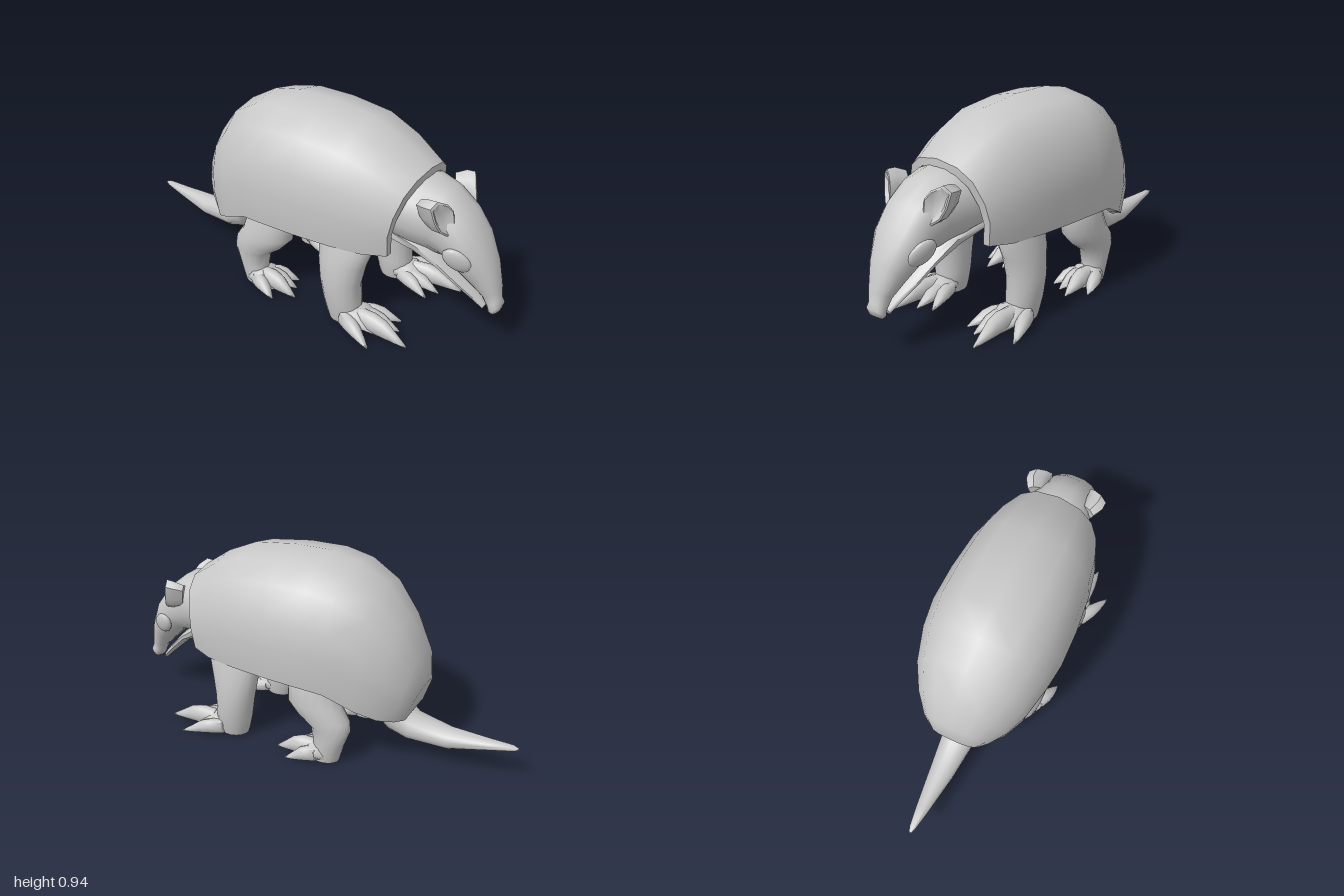
import * as THREE from 'three';
import { toCreasedNormals } from 'three/addons/utils/BufferGeometryUtils.js';

const hide = new THREE.MeshStandardMaterial({ color: 0xc8c8c8 });
hide.name = 'grey hide';

// Skin a list of equal-sized closed rings, cap both ends, face outwards
function loft(name, rings, crease = 0.9) {
  const n = rings[0].length, idx = [], last = (rings.length - 1) * n;
  for (let r = 0; r < rings.length - 1; r++)
    for (let i = 0; i < n; i++) {
      const a = r * n + i, b = r * n + (i + 1) % n;
      idx.push(a, b, b + n, a, b + n, a + n);
    }
  for (let i = 0; i < n / 2 - 1; i++) {
    const j = n - 1 - i;
    idx.push(i, j, j - 1, i, j - 1, i + 1);
    idx.push(last + i, last + j - 1, last + j, last + i, last + i + 1, last + j - 1);
  }
  const pts = rings.flat();
  let volume = 0;
  for (let k = 0; k < idx.length; k += 3)
    volume += pts[idx[k]].dot(pts[idx[k + 1]].clone().cross(pts[idx[k + 2]]));
  if (volume < 0) idx.reverse();
  const g = new THREE.BufferGeometry().setFromPoints(pts);
  g.setIndex(idx);
  const mesh = new THREE.Mesh(toCreasedNormals(g, crease), hide);
  mesh.name = name;
  return mesh;
}

// Ellipse around centre c with half axes u and v; power below 1 makes the u sides fuller
function ellipse(c, u, v, n = 16, power = 1) {
  return Array.from({ length: n }, (_, i) => {
    const a = ((i + 0.5) / n) * Math.PI * 2, cos = Math.cos(a);
    return new THREE.Vector3(...c)
      .addScaledVector(new THREE.Vector3(...u), Math.sign(cos) * Math.abs(cos) ** power)
      .addScaledVector(new THREE.Vector3(...v), Math.sin(a));
  });
}

// Cross-section from [top z, top y, bottom z, bottom y, half width]
const slice = (x, n, power) => ([tz, ty, bz, by, w]) =>
  ellipse([x, (ty + by) / 2, (tz + bz) / 2], [w, 0, 0], [0, (ty - by) / 2, (tz - bz) / 2], n, power);

// Arched shell section with a thick wall; front sections bow backwards
const ARCH = [[0.94, 0], [1, 0.3], [0.94, 0.545], [0.76, 0.8], [0.47, 0.945], [0, 1]];
function shellRing([tz, ty, bz, by, w]) {
  const half = ARCH.concat(ARCH.slice(0, 5).reverse().map(([x, y]) => [-x, y]));
  const t = Math.min(0.035, w * 0.4, (ty - by) * 0.4);
  const arch = (hw, top, dz) => half.map(([x, y]) => new THREE.Vector3(
    x * hw, by + (top - by) * y, bz + (tz - bz) * (tz > 0 ? y * y : y) + dz));
  return arch(w, ty, 0).concat(arch(w - t, ty - t, tz < -0.3 ? 0.035 : 0).reverse());
}

// One toe of relative height h tapering from the foot into a claw
function toe(x0, z0, x1, z1, h, s) {
  const rings = [[0, 0.045, 0.036, 0.045], [0.3, 0.047, 0.04, 0.047], [0.55, 0.04, 0.034, 0.04],
    [0.8, 0.02, 0.02, 0.02], [1, 0.005, 0.005, 0.005]].map(([t, y, rx, ry]) =>
    ellipse([s * (x0 + (x1 - x0) * t), y * h, z0 + (z1 - z0) * t], [rx, 0, 0], [0, ry * h, 0], 10));
  return loft('toe', rings, 1.2);
}

// Leg from horizontal sections [y, x, front z, back z, half width], plus foot and toes
function leg(name, s, sections, footZ, scale, toes) {
  const g = new THREE.Group();
  g.name = name;
  g.add(loft('limb', sections.map(([y, x, f, b, w]) =>
    ellipse([s * x, y, (f + b) / 2], [w, 0, 0], [0, 0, (f - b) / 2], 16)), 1.2));
  g.add(loft('foot', [[0.05, 0.05, 0.045], [0.1, 0.085, 0.07], [0.16, 0.09, 0.08], [0.21, 0.065, 0.07], [0.26, 0.03, 0.05]]
    .map(([d, h, w]) => {
      const z = footZ + d * scale;
      return slice(s * 0.225, 12)([z, h, z, 0, w]);
    }), 1.2));
  for (const t of toes) g.add(toe(...t, s));
  return g;
}

// Thick ear with a shallow cup facing forward and outward
function ear(s) {
  const outline = [[0.2, 0.672], [0.167, 0.698], [0.125, 0.675], [0.1, 0.64],
    [0.1, 0.57], [0.12, 0.525], [0.165, 0.558], [0.187, 0.605]];
  const ring = (k, dz, dx = 0) => outline.map(([x, y]) => new THREE.Vector3(
    s * (0.145 + (x - 0.145) * k + dx),
    0.61 + (y - 0.61) * k,
    0.765 - (x - 0.145) * k * 0.5 - (y - 0.61) * k * 0.15 + dz));
  return loft('ear', [ring(0.75, -0.09, -0.015), ring(0.97, -0.04), ring(1, 0),
    ring(0.88, 0.003), ring(0.5, -0.014)], 0.7);
}

export function createModel() {
  const model = new THREE.Group();
  model.name = 'armadillo';

  // Domed shell, front to back
  model.add(loft('shell', [
    [0.62, 0.747, 0.555, 0.4, 0.24],
    [0.48, 0.842, 0.45, 0.39, 0.28],
    [0.33, 0.908, 0.3, 0.39, 0.31],
    [0.12, 0.935, 0.11, 0.39, 0.328],
    [-0.07, 0.938, -0.06, 0.388, 0.332],
    [-0.21, 0.912, -0.18, 0.375, 0.315],
    [-0.35, 0.835, -0.32, 0.31, 0.278],
    [-0.46, 0.7, -0.41, 0.265, 0.225],
    [-0.54, 0.55, -0.47, 0.245, 0.165],
    [-0.56, 0.4, -0.5, 0.24, 0.12],
    [-0.508, 0.25, -0.505, 0.24, 0.1],
  ].map(shellRing), 0.8));

  // Body running into the tail
  model.add(loft('bodyAndTail', [
    [0.5, 0.69, 0.5, 0.42, 0.18],
    [0.3, 0.8, 0.32, 0.39, 0.25],
    [0.05, 0.86, 0.05, 0.37, 0.28],
    [-0.15, 0.8, -0.15, 0.35, 0.26],
    [-0.28, 0.62, -0.24, 0.3, 0.19],
    [-0.38, 0.42, -0.32, 0.2, 0.12],
    [-0.45, 0.29, -0.39, 0.122, 0.09],
    [-0.52, 0.225, -0.49, 0.092, 0.08],
    [-0.68, 0.192, -0.68, 0.092, 0.06],
    [-0.87, 0.19, -0.87, 0.14, 0.033],
    [-0.97, 0.193, -0.98, 0.165, 0.015],
    [-0.997, 0.185, -1, 0.175, 0.006],
  ].map(slice(0, 16))));

  // Neck, head and upper snout
  model.add(loft('head', [
    [0.45, 0.7, 0.45, 0.43, 0.19],
    [0.62, 0.713, 0.59, 0.4, 0.175],
    [0.72, 0.69, 0.67, 0.39, 0.145],
    [0.82, 0.61, 0.733, 0.39, 0.14],
    [0.89, 0.52, 0.795, 0.345, 0.128],
    [0.95, 0.4, 0.86, 0.285, 0.088],
    [0.983, 0.285, 0.91, 0.238, 0.054],
    [0.99, 0.235, 0.935, 0.195, 0.044],
    [1, 0.213, 0.945, 0.172, 0.049],
    [0.992, 0.183, 0.957, 0.164, 0.036],
  ].map(slice(0, 16, 0.8))));

  // Lower jaw
  model.add(loft('lowerJaw', [
    [0.52, 0.53, 0.5, 0.41, 0.165],
    [0.66, 0.46, 0.6, 0.382, 0.135],
    [0.74, 0.382, 0.715, 0.335, 0.11],
    [0.82, 0.3, 0.8, 0.265, 0.078],
    [0.893, 0.225, 0.875, 0.2, 0.042],
    [0.926, 0.185, 0.915, 0.162, 0.022],
  ].map(slice(0, 12, 0.8))));

  for (const s of [1, -1]) {
    const side = s > 0 ? 'left' : 'right';
    model.add(ear(s));

    // Eye
    const eye = new THREE.Mesh(new THREE.SphereGeometry(1, 16, 10), hide);
    eye.name = side + 'Eye';
    eye.scale.set(0.022, 0.048, 0.07);
    eye.position.set(s * 0.121, 0.43, 0.825);
    eye.rotation.set(0.7, s * -0.35, 0);
    model.add(eye);

    model.add(leg(side + 'FrontLeg', s, [
      [0.55, 0.17, 0.44, 0.2, 0.065],
      [0.41, 0.2, 0.48, 0.195, 0.077],
      [0.3, 0.22, 0.445, 0.21, 0.08],
      [0.2, 0.228, 0.425, 0.228, 0.082],
      [0.1, 0.225, 0.43, 0.245, 0.078],
      [0.03, 0.222, 0.43, 0.262, 0.068],
      [0, 0.222, 0.42, 0.272, 0.06],
    ], 0.275, 1, [
      [0.18, 0.4, 0.112, 0.58, 0.75],
      [0.2, 0.42, 0.18, 0.61, 0.75],
      [0.24, 0.44, 0.258, 0.69, 1.02],
      [0.275, 0.37, 0.362, 0.56, 0.8],
    ]));

    model.add(leg(side + 'HindLeg', s, [
      [0.5, 0.17, 0.02, -0.22, 0.08],
      [0.38, 0.2, 0.035, -0.21, 0.085],
      [0.28, 0.215, 0.035, -0.24, 0.082],
      [0.22, 0.22, -0.02, -0.28, 0.075],
      [0.17, 0.222, -0.09, -0.285, 0.066],
      [0.09, 0.222, -0.105, -0.255, 0.06],
      [0.03, 0.222, -0.095, -0.238, 0.056],
      [0, 0.222, -0.09, -0.23, 0.052],
    ], -0.23, 0.75, [
      [0.185, -0.13, 0.125, 0.01, 0.75],
      [0.205, -0.12, 0.185, 0.04, 0.8],
      [0.235, -0.11, 0.25, 0.08, 1],
      [0.265, -0.14, 0.32, 0.0, 0.8],
    ]));
  }
  return model;
}
